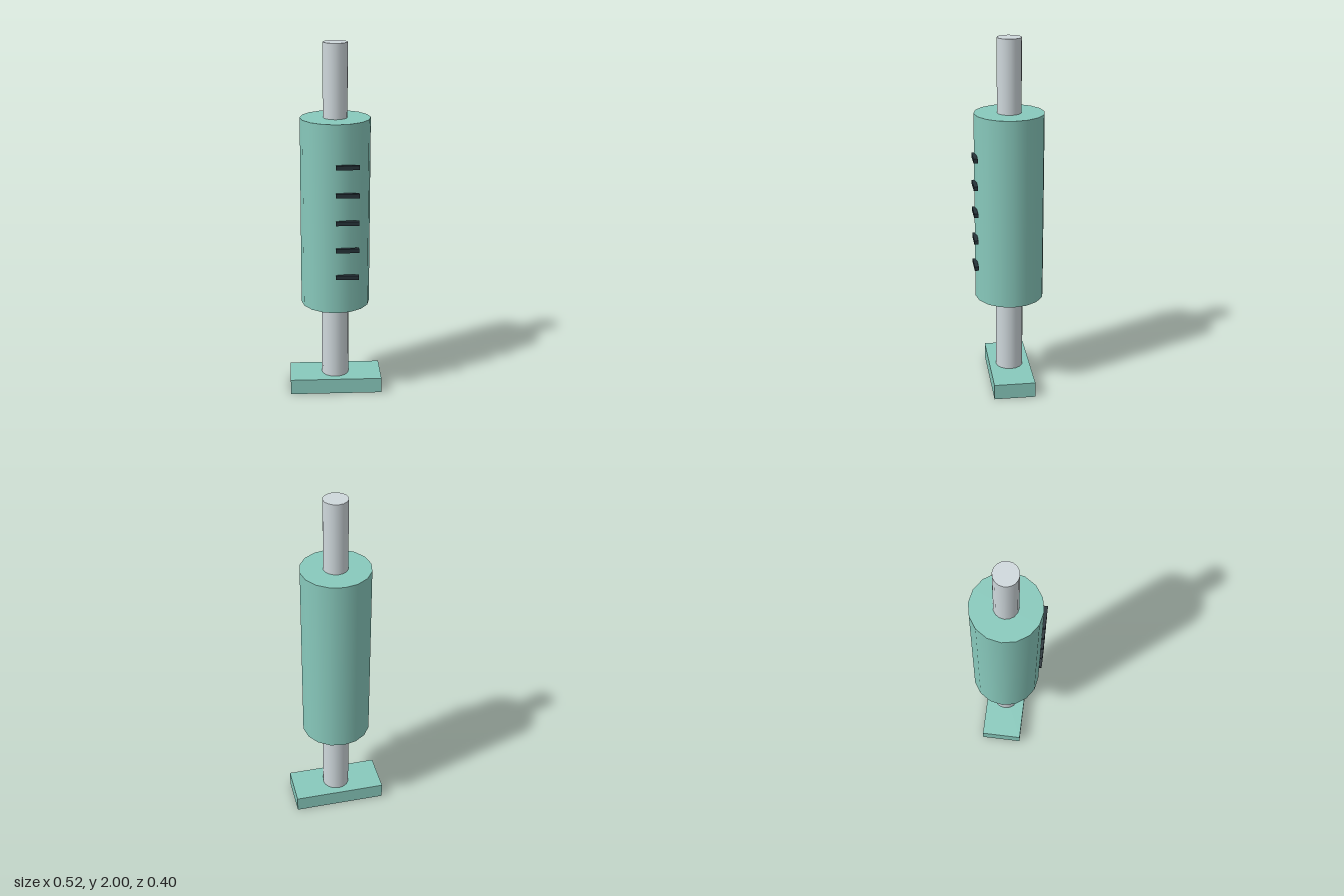
import * as THREE from 'three';

const teal = new THREE.MeshStandardMaterial({ color: 0x88c9bc });
const steel = new THREE.MeshStandardMaterial({ color: 0xcfd8dc });
const dark = new THREE.MeshStandardMaterial({ color: 0x263238 });

const AXIS_Z = -0.007; // the shaft sits slightly behind the centre

export function createModel() {
  const group = new THREE.Group();

  const add = (name, geometry, material, x, y, z) => {
    const mesh = new THREE.Mesh(geometry, material);
    mesh.name = name;
    mesh.position.set(x, y, z);
    group.add(mesh);
  };

  // Upright 16-sided cylinder between two heights
  const column = (name, radius, y0, y1, material) =>
    add(name, new THREE.CylinderGeometry(radius, radius, y1 - y0, 16), material, 0, (y0 + y1) / 2, AXIS_Z);

  column('barrel', 0.193, 0.532, 1.595, teal);
  column('needle', 0.067, 1.595, 2, steel);
  column('plungerRod', 0.077, 0.088, 0.532, steel);

  // Thumb rest at the foot of the plunger
  add('thumbRest', new THREE.BoxGeometry(0.522, 0.088, 0.233), teal, 0, 0.044, AXIS_Z);

  // Measuring marks up the front of the barrel
  for (let i = 0; i < 5; i++) {
    add(`mark${i + 1}`, new THREE.BoxGeometry(0.126, 0.023, 0.023), dark, 0.058, 0.745 + i * 0.155, 0.1885);
  }

  return group;
}
